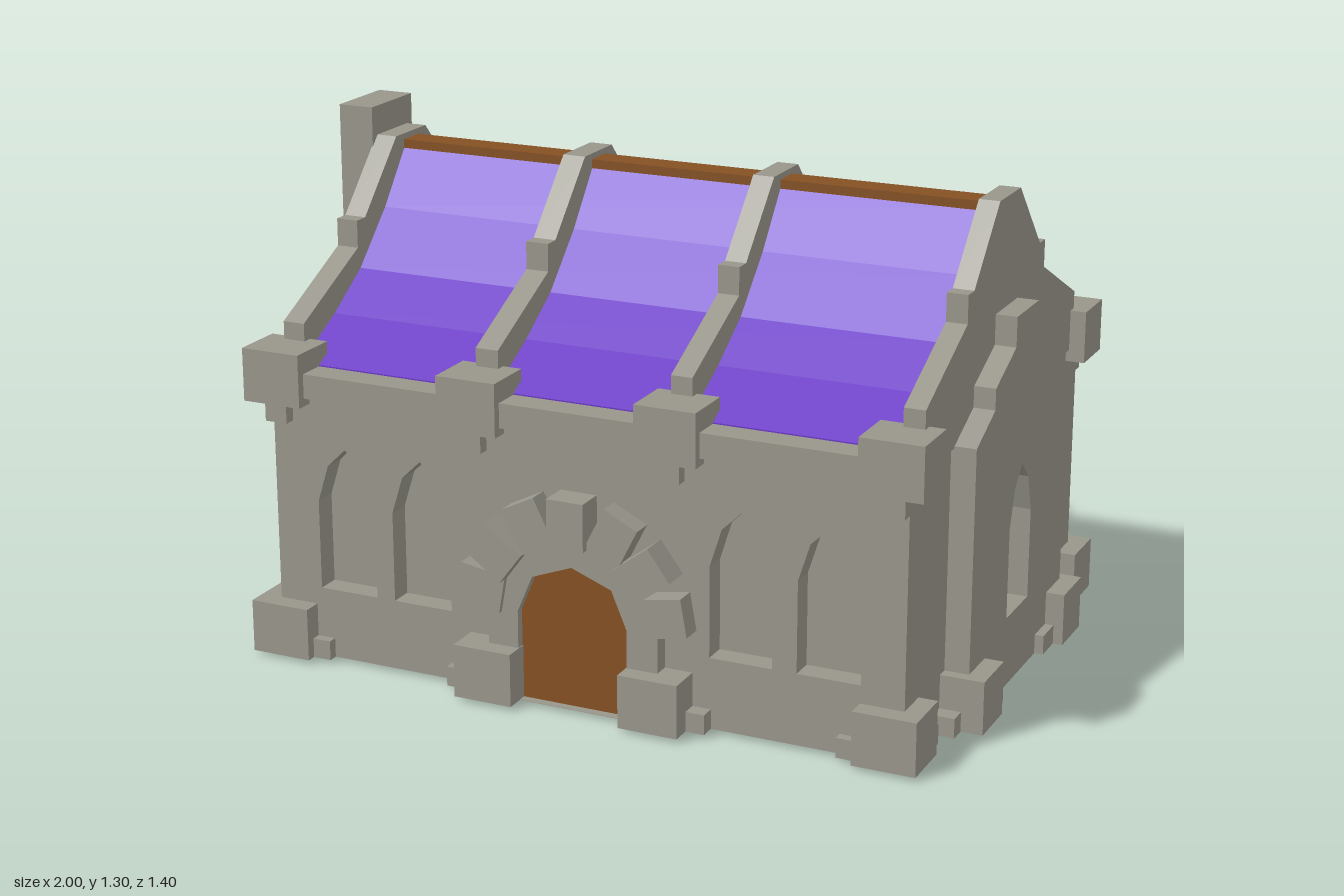
import * as THREE from 'three';

export function createModel() {
  const model = new THREE.Group();
  model.name = 'stoneHall';
  const mat = (name, color) => {
    const m = new THREE.MeshStandardMaterial({ color });
    m.name = name;
    return m;
  };
  const stone = mat('stone', 0x98968b);
  const roofing = mat('purpleRoof', 0x6b39c6);
  const wood = mat('wood', 0x855023);

  const add = (name, geometry, material = stone) => {
    const mesh = new THREE.Mesh(geometry, material);
    mesh.name = name;
    model.add(mesh);
    return mesh;
  };
  // Box given by its limits on each axis
  const box = (name, x0, x1, y0, y1, z0, z1, material) => {
    const g = new THREE.BoxGeometry(x1 - x0, y1 - y0, z1 - z0);
    g.translate((x0 + x1) / 2, (y0 + y1) / 2, (z0 + z1) / 2);
    return add(name, g, material);
  };
  const points = (list) => list.map(([x, y]) => new THREE.Vector2(x, y));
  // Half outline (right side, bottom to top) completed by mirroring about cx
  const mirrored = (half, cx = 0) => points([
    ...half.map(([x, y]) => [cx + x, y]),
    ...half.filter(([x]) => x > 0).reverse().map(([x, y]) => [cx - x, y]),
  ]);
  const extrude = (outline, depth, holes = []) => {
    const shape = new THREE.Shape(outline);
    holes.forEach((h) => shape.holes.push(new THREE.Path(h)));
    return new THREE.ExtrudeGeometry(shape, { depth, bevelEnabled: false });
  };
  const alongZ = (name, outline, z0, z1, material, holes) =>
    add(name, extrude(outline, z1 - z0, holes).translate(0, 0, z0), material);
  const alongX = (name, outline, x0, x1, material, holes) =>
    add(name, extrude(outline, x1 - x0, holes).rotateY(Math.PI / 2).translate(x0, 0, 0), material);

  const CX = 0.05; // centre of the hall
  const lancet = (cx) => mirrored([[0.08, 0.19], [0.08, 0.42], [0.05, 0.515], [0, 0.563]], cx);

  // Walls, the front one pierced by window recesses
  box('hallCore', -0.785, 0.885, 0.01, 0.72, -0.61, 0.55);
  alongZ('frontWall', points([[-0.785, 0.01], [0.885, 0.01], [0.885, 0.72], [-0.785, 0.72]]),
    0.55, 0.61, stone, [-0.585, -0.375, 0.475, 0.697].map(lancet));

  // Roof, ridge beam and eaves
  const roofHalf = [[0.56, 0.7], [0.56, 0.755], [0.4, 0.84], [0.27, 0.925], [0.14, 1.055], [0.03, 1.195]];
  alongX('roof', mirrored(roofHalf), -0.73, 0.84, roofing);
  box('ridgeBeam', -0.73, 0.84, 1.16, 1.21, -0.036, 0.036, wood);
  for (const s of [-1, 1]) {
    box('eaveBeam', -0.8, 0.9, 0.69, 0.752, s * 0.598 - 0.037, s * 0.598 + 0.037);
  }

  // Stepped stone ribs, the end pair forming the gables
  const ribHalf = [[0.545, 0.7], [0.545, 0.85], [0.28, 0.98], [0.28, 1.05], [0.24, 1.05], [0.075, 1.225]];
  for (const [x0, x1] of [[-0.788, -0.73], [-0.25, -0.19], [0.265, 0.32], [0.84, 0.893]]) {
    alongX('roofRib', mirrored(ribHalf), x0, x1);
  }

  // Eave blocks with corbels, and corner plinths
  for (const s of [-1, 1]) {
    const zBox = (name, x0, x1, y0, y1, near, far) =>
      box(name, x0, x1, y0, y1, Math.min(s * near, s * far), Math.max(s * near, s * far));
    for (const x of [-0.76, -0.22, 0.3, 0.855]) {
      zBox('eaveBlock', x - 0.079, x + 0.079, 0.67, 0.805, 0.52, 0.657);
      zBox('corbel', x - 0.03, x + 0.03, 0.62, 0.67, 0.58, 0.64);
    }
    for (const [side, x0, x1] of [[-1, -0.84, -0.68], [1, 0.775, 0.933]]) {
      zBox('cornerPlinth', x0, x1, 0.01, 0.145, 0.52, 0.66);
      const inner = side < 0 ? x1 : x0;
      zBox('smallFootStone', inner - 0.048, inner + 0.048, 0.01, 0.06, 0.58, 0.635);
      // Foot stone on the side wall beside the corner
      const outer = CX + side * 0.84;
      zBox('sideFootStone', outer - 0.025, outer + 0.025, 0.01, 0.06, 0.46, 0.54);
      // Plinths at the foot of each gable buttress
      const px = CX + side * 0.87;
      zBox('buttressPlinth', px - 0.075, px + 0.075, 0.01, 0.145, 0.235, 0.375);
      const fx = CX + side * 0.88;
      zBox('buttressFootStone', fx - 0.04, fx + 0.04, 0.01, 0.06, 0.155, 0.235);
      zBox('buttressFootStone', fx - 0.06, fx + 0.01, 0.01, 0.06, 0.375, 0.42);
    }
    // Plinths beside the doorway and the back panel
    const c = s > 0 ? 0.055 : 0.065;
    for (const m of [-1, 1]) {
      const cx = c + m * (s > 0 ? 0.22 : 0.245);
      zBox('middlePlinth', cx - 0.077, cx + 0.077, 0.01, 0.145, 0.6, 0.7);
      const fx = cx + m * 0.1;
      zBox('smallFootStone', fx - 0.025, fx + 0.025, 0.01, 0.06, 0.6, 0.65);
    }
  }

  // Stepped buttress panels on both gables, window on the left one
  const panel = mirrored([[0.345, 0.01], [0.345, 0.705], [0.22, 0.762], [0.22, 0.815],
    [0.08, 0.877], [0.08, 0.952]]);
  alongX('gablePanel', panel, 0.88, 0.947, stone, [lancet(0)]);
  alongX('gablePanel', panel, -0.842, -0.78);

  // Hearth projections and chimney on the right gable
  alongX('outerHearth', mirrored([[0.19, 0], [0.19, 0.43], [0.125, 0.535], [0.07, 0.575]]), -1, -0.9);
  alongX('innerHearth', mirrored([[0.285, 0], [0.285, 0.45], [0.19, 0.595], [0.1, 0.645]]), -0.91, -0.83);
  box('gableChimney', -0.88, -0.785, 0.3, 1.3, -0.1, 0.1);

  // Arched panel and chimney on the back wall
  alongZ('backPanel', mirrored([[0.255, 0.01], [0.255, 0.43], [0.16, 0.59], [0.08, 0.63]], 0.065), -0.66, -0.6);
  box('backChimney', 0, 0.13, 0.01, 0.93, -0.7, -0.605);

  // Doorway: door, jambs, arch ring and projecting arch stones
  const doorX = 0.055;
  const doorHalf = [[0.145, 0], [0.145, 0.24], [0.105, 0.335], [0, 0.375]];
  alongZ('door', mirrored(doorHalf, doorX), 0.59, 0.63, wood);
  const surround = mirrored([[0.225, 0.01], [0.225, 0.25], [0.165, 0.4], [0, 0.465]], doorX);
  const opening = mirrored([[0.145, 0.011], ...doorHalf.slice(1)], doorX);
  alongZ('doorSurround', surround, 0.6, 0.652, stone, [opening]);
  for (let i = 0; i < 7; i++) {
    const a = THREE.MathUtils.degToRad(10 + i * (160 / 6));
    const depth = i % 2 ? 0.085 : 0.065;
    const block = add('archStone', new THREE.BoxGeometry(0.12, 0.096, depth));
    block.position.set(doorX + 0.243 * Math.cos(a), 0.248 + 0.243 * Math.sin(a), 0.6 + depth / 2);
    block.rotation.z = a;
  }
  return model;
}
